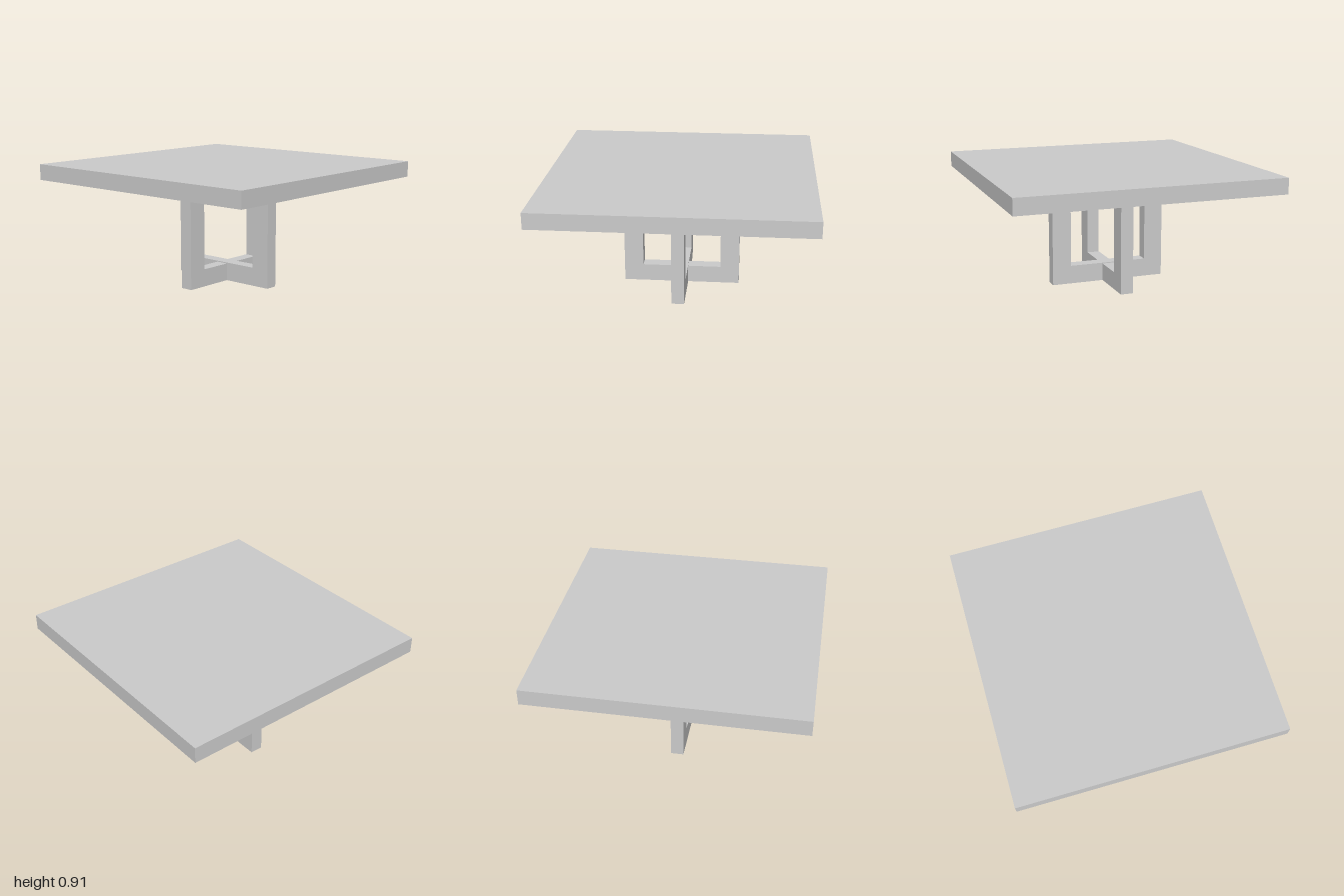
import * as THREE from 'three';

const material = new THREE.MeshStandardMaterial({ color: 0xcccccc });

const rectangle = (path, x0, y0, x1, y1) =>
  path.moveTo(x0, y0).lineTo(x1, y0).lineTo(x1, y1).lineTo(x0, y1).closePath();

// Upright rectangular frame with a rectangular opening, centred on z = 0
function makeFrame(name, sillHeight) {
  const height = 0.79, half = 0.448, openHalf = 0.302, thickness = 0.096;
  const outline = rectangle(new THREE.Shape(), -half, 0, half, height);
  outline.holes.push(rectangle(new THREE.Path(), -openHalf, sillHeight, openHalf, 0.673));
  const geometry = new THREE.ExtrudeGeometry(outline, { depth: thickness, bevelEnabled: false });
  geometry.translate(0, 0, -thickness / 2);
  const frame = new THREE.Mesh(geometry, material);
  frame.name = name;
  return frame;
}

export function createModel() {
  const table = new THREE.Group();
  table.name = 'table';

  // Square slab top
  const top = new THREE.Mesh(new THREE.BoxGeometry(2, 0.12, 2), material);
  top.name = 'tableTop';
  top.position.y = 0.85;
  table.add(top);

  // Two open frames crossing at right angles
  const base = new THREE.Group();
  base.name = 'crossedBase';
  const wideFrame = makeFrame('sidewaysFrame', 0.14);
  wideFrame.position.x = 0.002;
  const deepFrame = makeFrame('lengthwiseFrame', 0.133);
  deepFrame.rotation.y = Math.PI / 2;
  deepFrame.position.z = 0.003;
  base.add(wideFrame, deepFrame);
  table.add(base);

  return table;
}
